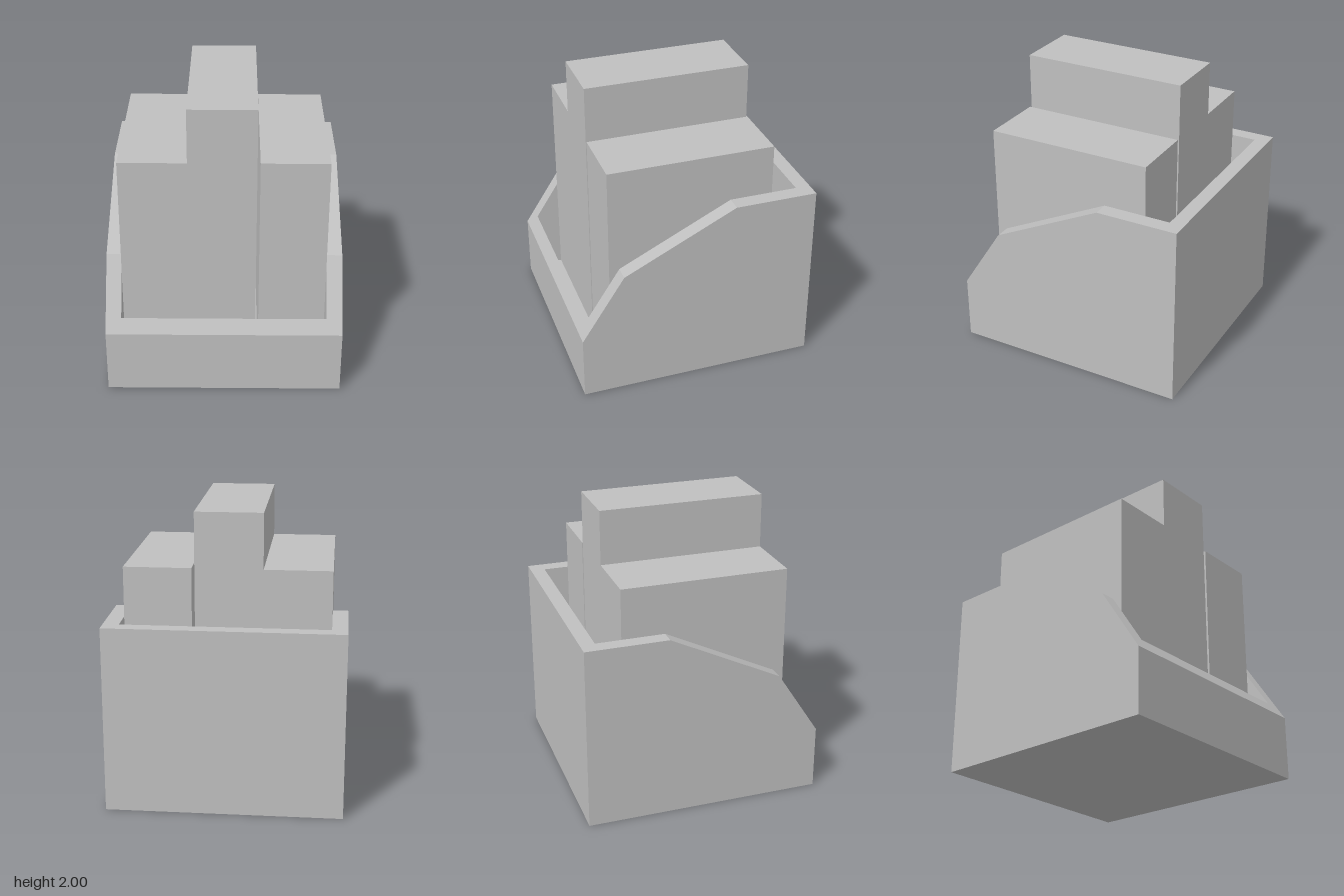
import * as THREE from 'three';

export function createModel() {
  const model = new THREE.Group();
  model.name = 'cardHolder';
  const grey = new THREE.MeshStandardMaterial({ color: 0xbfbfbf });
  grey.name = 'plain grey';

  // Extrudes a side profile of [z, y] points from x0 to x1
  function slab(name, profile, x0, x1) {
    const shape = new THREE.Shape(profile.map(([z, y]) => new THREE.Vector2(z, y)));
    const geometry = new THREE.ExtrudeGeometry(shape, { depth: x1 - x0, bevelEnabled: false });
    geometry.rotateY(-Math.PI / 2).translate(x1, 0, 0);
    const mesh = new THREE.Mesh(geometry, grey);
    mesh.name = name;
    model.add(mesh);
  }
  const rect = (z0, z1, y0, y1) => [[z0, y0], [z1, y0], [z1, y1], [z0, y1]];

  const halfW = 0.8, halfD = 0.82, inR = -0.695, inL = 0.692;
  const inBack = -0.72, inFront = 0.76, floorY = 0.1, backY = 1.28;

  // Side walls with the sloping rim
  const side = [[-halfD, 0], [halfD, 0], [halfD, 0.445], [0.525, 0.9], [-0.25, backY], [-halfD, backY]];
  slab('rightWall', side, -halfW, inR);
  slab('leftWall', side, inL, halfW);

  // Walls and floor between the sides; the front rim follows the slope
  slab('backWall', rect(-halfD, inBack, 0, backY), inR, inL);
  slab('frontWall', [[inFront, 0], [halfD, 0], [halfD, 0.445], [inFront, 0.5375]], inR, inL);
  slab('floor', rect(inBack, inFront, 0, floorY), inR, inL);

  // Upright blocks standing in the tray
  const blocks = [
    ['rightBlock', inR, -0.24, 1.625],
    ['middleBlock', -0.24, 0.215, 2],
    ['leftBlock', 0.235, 0.69, 1.625],
  ];
  for (const [name, x0, x1, top] of blocks) slab(name, rect(-0.545, 0.595, floorY, top), x0, x1);

  return model;
}
